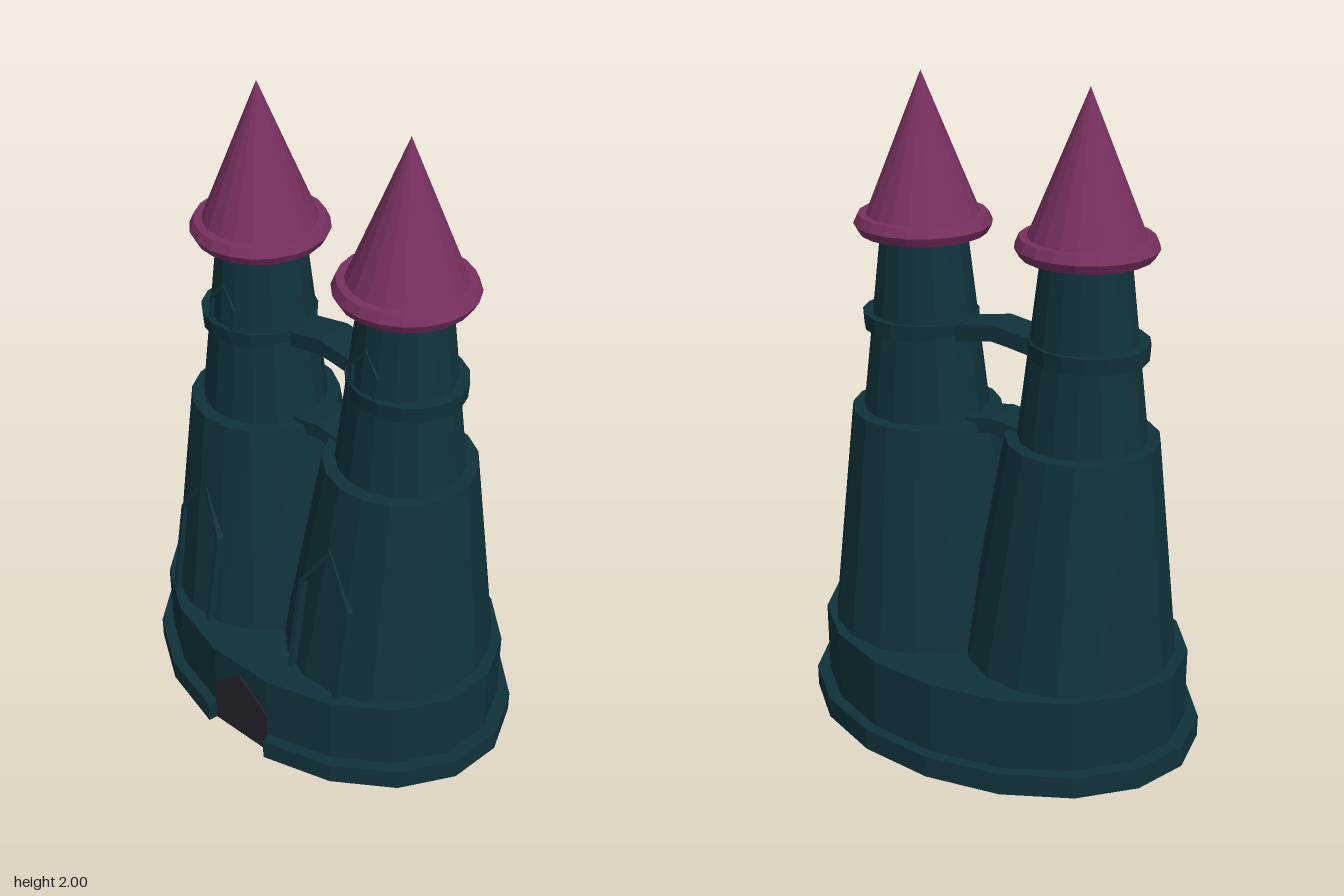
import * as THREE from 'three';

const SIDES = 17;
const stone = new THREE.MeshStandardMaterial({ color: 0x10323a });
const roofPink = new THREE.MeshStandardMaterial({ color: 0x78305f });
const doorDark = new THREE.MeshStandardMaterial({ color: 0x27232d });
stone.name = 'stone';
roofPink.name = 'roofPink';
doorDark.name = 'doorDark';

// Faceted mesh: every face gets its own normals
function part(name, geometry, material = stone) {
  const geo = geometry.index ? geometry.toNonIndexed() : geometry;
  geo.computeVertexNormals();
  const mesh = new THREE.Mesh(geo, material);
  mesh.name = name;
  return mesh;
}

// Oval frustum whose bottom and top may have different centres and radii
function frustum(y0, y1, bottom, top, sides = SIDES) {
  const geo = new THREE.CylinderGeometry(1, 1, 1, sides, 1);
  geo.rotateY(Math.PI);
  const p = geo.attributes.position;
  for (let i = 0; i < p.count; i++) {
    const up = p.getY(i) > 0;
    const [cx, rx, rz] = up ? top : bottom;
    p.setXYZ(i, cx + p.getX(i) * rx, up ? y1 : y0, p.getZ(i) * rz);
  }
  return geo;
}

const ovalPoint = (i, rx, rz) => {
  const a = (i / SIDES) * Math.PI * 2;
  return new THREE.Vector2(rx * Math.sin(a), rz * Math.cos(a));
};

// Outline of a pointed arch standing on y = 0
const archPoints = (w, shoulder, h, inset = 0) => [
  new THREE.Vector2(-w / 2 + inset, 0),
  new THREE.Vector2(w / 2 - inset, 0),
  new THREE.Vector2(w / 2 - inset, shoulder),
  new THREE.Vector2(0, h - inset * 1.8),
  new THREE.Vector2(-w / 2 + inset, shoulder),
];

// Raised pointed frame leaning with the tower wall
function windowFrame(name, w, shoulder, h, frame, pos, yaw, tilt) {
  const shape = new THREE.Shape(archPoints(w, shoulder, h));
  shape.holes.push(new THREE.Path(archPoints(w, shoulder, h, frame)));
  const geo = new THREE.ExtrudeGeometry(shape, { depth: 0.05, bevelEnabled: false });
  geo.translate(0, 0, -0.045);
  const mesh = part(name, geo);
  mesh.position.set(...pos);
  mesh.rotation.set(-tilt, yaw, 0, 'YXZ');
  return mesh;
}

// Slightly peaked walkway between the towers
function bridge(name, halfW, yEnd, yMid, thick, z0, z1) {
  const shape = new THREE.Shape([
    [-halfW, yEnd - thick], [-halfW * 0.4, yMid - thick - 0.008], [0, yMid - thick],
    [halfW * 0.4, yMid - thick - 0.008], [halfW, yEnd - thick],
    [halfW, yEnd], [0, yMid], [-halfW, yEnd],
  ].map(([x, y]) => new THREE.Vector2(x, y)));
  const geo = new THREE.ExtrudeGeometry(shape, { depth: z1 - z0, bevelEnabled: false });
  geo.translate(0, 0, z0);
  return part(name, geo);
}

function createTower(s) {
  const tower = new THREE.Group();
  tower.name = s > 0 ? 'leftTower' : 'rightTower';
  tower.add(
    part('lowerTower', frustum(0.29, 0.99, [s * 0.24, 0.325, 0.34], [s * 0.267, 0.228, 0.23])),
    part('upperTower', frustum(0.98, 1.56, [s * 0.267, 0.195, 0.19], [s * 0.267, 0.125, 0.128])),
    part('ledge', frustum(1.24, 1.29, [s * 0.281, 0.175, 0.168], [s * 0.281, 0.178, 0.172])),
  );

  // Conical roof with a bulging rim
  const profile = [[0, 1.535], [0.19, 1.535], [0.205, 1.562], [0.192, 1.59], [0.168, 1.59], [0, 2]]
    .map(([r, y]) => new THREE.Vector2(r, y));
  const roof = part('roof', new THREE.LatheGeometry(profile, 20), roofPink);
  roof.position.x = s * 0.268;
  tower.add(roof);

  // Both towers turn their windows a little to the same side
  const left = s > 0;
  tower.add(
    windowFrame('tallWindow', 0.21, 0.32, 0.485, 0.016,
      left ? [0.215, 0.3, 0.336] : [-0.31, 0.3, 0.328], left ? -0.08 : -0.22, 0.16),
    windowFrame('smallWindow', 0.11, 0.07, 0.135, 0.01,
      left ? [0.245, 1.285, 0.153] : [-0.29, 1.285, 0.153], -0.14, 0.11),
  );
  return tower;
}

export function createModel() {
  const model = new THREE.Group();
  model.name = 'twinTowerCastle';

  // Plinth with the front side cut back for the door
  const outline = [];
  const half = (SIDES - 1) / 2;
  outline.push(ovalPoint(-0.5, 0.603, 0.437), ovalPoint(0.5, 0.603, 0.437));
  for (let i = 0; i <= 2 * half; i++) outline.push(ovalPoint(i + 0.5, 0.647, 0.47));
  const plinthGeo = new THREE.ExtrudeGeometry(new THREE.Shape(outline), { depth: 0.07, bevelEnabled: false });
  plinthGeo.rotateX(Math.PI / 2);
  plinthGeo.translate(0, 0.07, 0);
  model.add(part('plinth', plinthGeo));

  model.add(part('base', frustum(0.01, 0.3, [0, 0.603, 0.437], [0, 0.603, 0.437])));

  // Door plate on the flat front side
  const doorGeo = new THREE.ExtrudeGeometry(new THREE.Shape(archPoints(0.224, 0.155, 0.255)),
    { depth: 0.006, bevelEnabled: false });
  doorGeo.translate(0, 0, 0.428);
  model.add(part('door', doorGeo, doorDark));

  model.add(createTower(-1), createTower(1));
  model.add(bridge('upperBridge', 0.13, 1.282, 1.305, 0.05, -0.07, 0.05));
  model.add(bridge('lowerBridge', 0.09, 1.0, 1.013, 0.045, -0.07, 0.065));
  return model;
}
